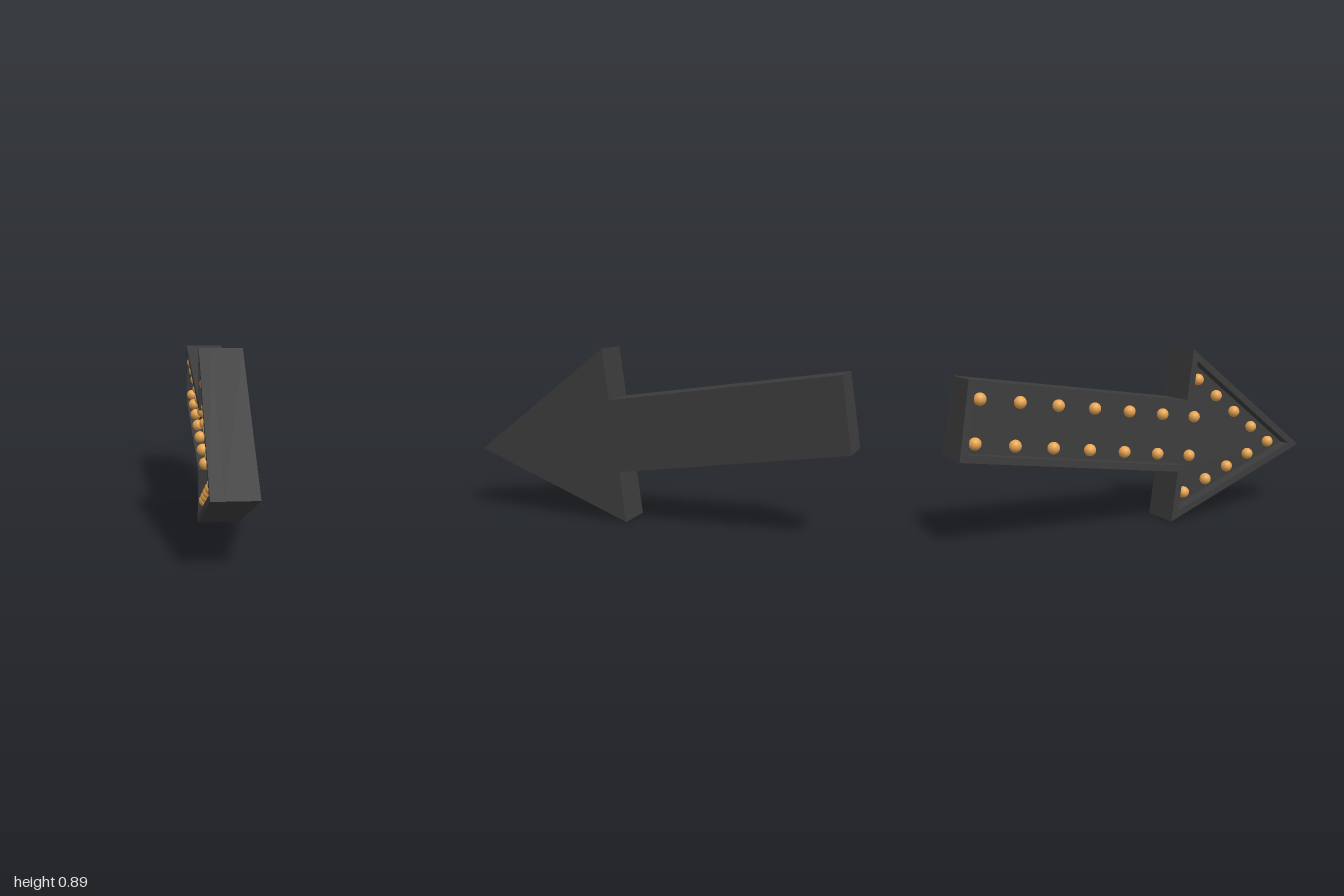
import * as THREE from 'three';

const HEAD = 0.8, HEAD_HALF = 0.45, TAIL = 1.196, SHAFT_HALF = 0.187;
const HALF_DEPTH = 0.105, RECESS = 0.06, RIM = 0.035, BULB = 0.03;

// Arrow outline pointing along +x, moved inward by t
function arrowPoints(t) {
  const a = Math.atan2(HEAD_HALF, HEAD);
  const corner = HEAD_HALF - t / Math.tan((Math.PI / 2 - a) / 2);
  const half = SHAFT_HALF - t;
  const upper = [[t, corner], [t, half], [-TAIL + t, half]];
  const lower = upper.map(([x, y]) => [x, -y]).reverse();
  return [[HEAD - t / Math.sin(a), 0], ...upper, ...lower].map(([x, y]) => new THREE.Vector2(x, y));
}

function slab(shape, z, depth) {
  const geometry = new THREE.ExtrudeGeometry(shape, { depth, bevelEnabled: false });
  return geometry.translate(0, 0, z);
}

export function createModel() {
  const model = new THREE.Group();
  const sign = new THREE.Group();
  sign.name = 'arrowSign';
  model.add(sign);

  const dark = new THREE.MeshStandardMaterial({ color: 0x3c3c3c });
  const amber = new THREE.MeshStandardMaterial({ color: 0xe8a552 });

  const add = (name, geometry, material, parent = sign) => {
    const mesh = new THREE.Mesh(geometry, material);
    mesh.name = name;
    parent.add(mesh);
    return mesh;
  };

  // Solid body, whose face is the floor of the recess
  const floor = HALF_DEPTH - RECESS;
  add('arrowBody', slab(new THREE.Shape(arrowPoints(0)), -HALF_DEPTH, floor + HALF_DEPTH), dark);

  // Raised rim around the recess
  const rim = new THREE.Shape(arrowPoints(0));
  rim.holes.push(new THREE.Path(arrowPoints(RIM)));
  add('arrowRim', slab(rim, floor, RECESS), dark);

  // Bulbs: two rows on the shaft, and a V inside the head
  const spots = [[0.602, 0]];
  for (const side of [1, -1]) {
    for (let i = 0; i < 7; i++) spots.push([0.08 - 0.2 * i, side * 0.102]);
    for (let i = 1; i < 5; i++) spots.push([0.602 - 0.132 * i, side * 0.0743 * i]);
  }
  const bulbs = new THREE.Group();
  bulbs.name = 'bulbs';
  sign.add(bulbs);
  const bulb = new THREE.SphereGeometry(BULB, 24, 16);
  for (const [x, y] of spots) add('bulb', bulb, amber, bulbs).position.set(x, y, floor + BULB);

  // Point to the front, tip tilted down, recess facing -x
  sign.rotation.set(0, -Math.PI / 2, -0.148);
  sign.position.set(0, 0.445, 0.209);
  return model;
}
